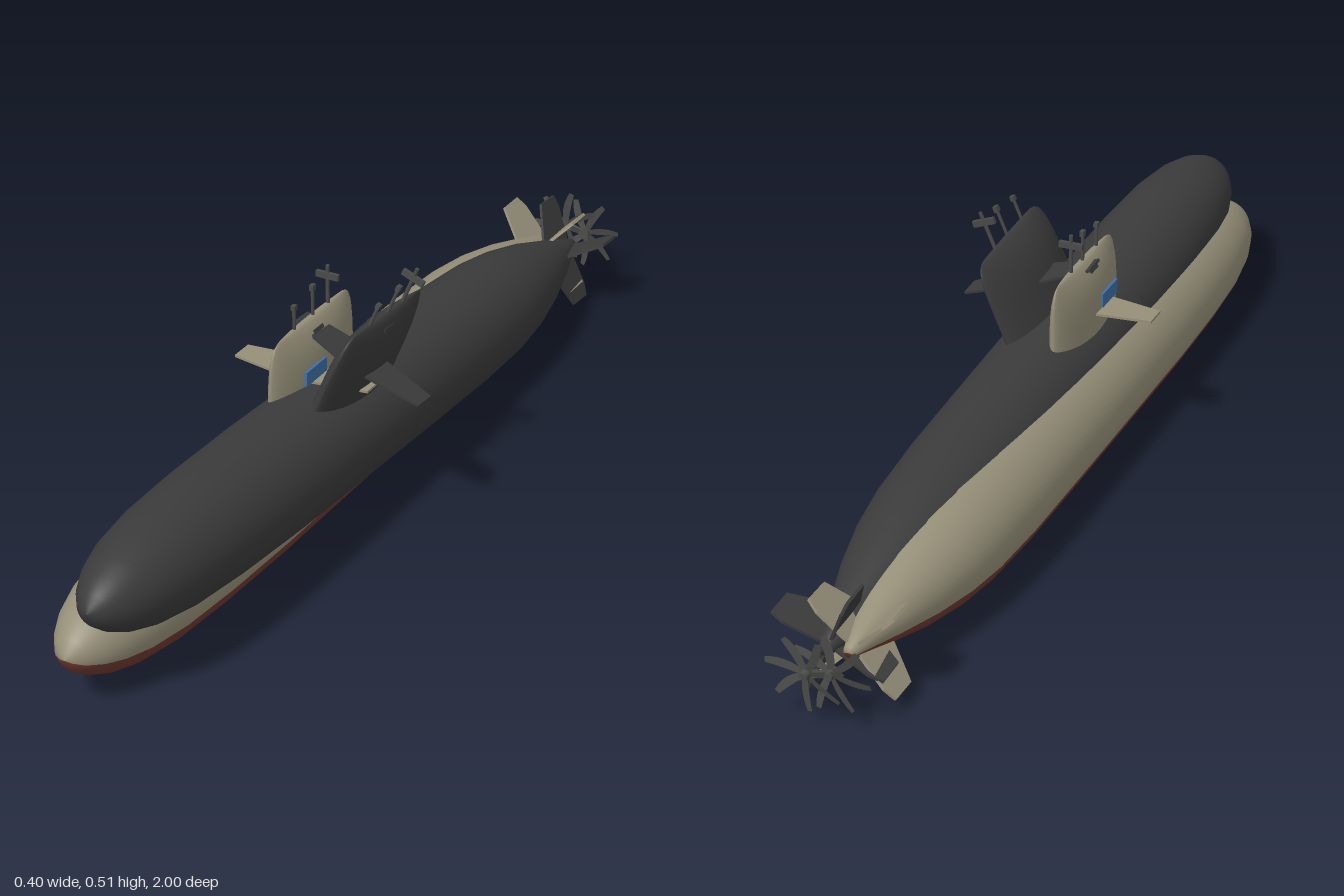
import * as THREE from 'three';

const mat = (name, color, side = THREE.FrontSide) => {
  const m = new THREE.MeshStandardMaterial({ color, side });
  m.name = name;
  return m;
};

// Half outline of the hull: [z, radius], stern to bow
const HULL = [
  [-0.917, 0], [-0.915, 0.012], [-0.87, 0.026], [-0.8, 0.049], [-0.7, 0.078], [-0.6, 0.099],
  [-0.5, 0.111], [-0.35, 0.117], [-0.1, 0.118], [0.4, 0.118], [0.6, 0.114], [0.75, 0.106],
  [0.85, 0.092], [0.91, 0.075], [0.95, 0.056], [0.98, 0.034], [0.994, 0.015], [1, 0],
];

// Sail sections: [height, half width, aft z, front z]
const SAIL = [
  [0.08, 0.038, -0.02, 0.292], [0.18, 0.037, -0.02, 0.292], [0.215, 0.0345, -0.02, 0.29],
  [0.24, 0.03, -0.019, 0.287], [0.26, 0.023, -0.016, 0.282], [0.275, 0.0155, -0.01, 0.274],
  [0.284, 0.009, 0.0, 0.26], [0.288, 0.004, 0.012, 0.245], [0.288, 0, 0.1, 0.16],
];

export function createModel() {
  const olive = mat('olive paint', 0x969079);
  const red = mat('red bottom paint', 0x70392f);
  const dark = mat('dark hull paint', 0x3b3b3b);
  const metal = mat('dark metal', 0x4a4a48, THREE.DoubleSide);
  const blue = mat('blue panel', 0x3f6fa6);

  const add = (parent, name, geo, material) => {
    const m = new THREE.Mesh(geo, material);
    m.name = name;
    parent.add(m);
    return m;
  };
  const box = (w, h, d, x, y, z) => new THREE.BoxGeometry(w, h, d).translate(x, y, z);

  // Sector of the round hull, measured from the keel
  function hullGeo(start, length, segments) {
    const pts = HULL.map(([z, r]) => new THREE.Vector2(r, z));
    return new THREE.LatheGeometry(pts, segments, start, length).rotateX(Math.PI / 2);
  }

  // Sail lofted through lens-shaped sections
  function sailGeo() {
    const n = 32, pos = [], idx = [];
    SAIL.forEach(([y, w, z0, z1], r) => {
      for (let i = 0; i < n; i++) {
        const t = (i / n) * Math.PI * 2, s = Math.sin(t);
        pos.push(w * s * Math.pow(Math.abs(s), 0.25), y, (z0 + z1) / 2 + ((z1 - z0) / 2) * Math.cos(t));
        if (r === SAIL.length - 1) continue;
        const a = r * n + i, b = r * n + (i + 1) % n;
        idx.push(a, b, a + n, b, b + n, a + n);
      }
    });
    const g = new THREE.BufferGeometry();
    g.setAttribute('position', new THREE.Float32BufferAttribute(pos, 3));
    g.setIndex(idx);
    g.computeVertexNormals();
    return g;
  }

  // Thin tapered plate reaching out along +x; corners are [x, z]
  function finGeo(corners, thick) {
    const shape = new THREE.Shape(corners.map(([x, z]) => new THREE.Vector2(x, z)));
    return new THREE.ExtrudeGeometry(shape, { depth: thick, bevelEnabled: false })
      .translate(0, 0, -thick / 2).rotateX(Math.PI / 2);
  }

  function propeller() {
    const prop = new THREE.Group();
    prop.name = 'propeller';
    add(prop, 'hub', new THREE.CylinderGeometry(0.012, 0.008, 0.022, 16).rotateX(Math.PI / 2), metal);
    const blade = new THREE.Shape();
    blade.moveTo(-0.005, 0.005);
    blade.quadraticCurveTo(-0.014, 0.045, 0.006, 0.08);
    blade.lineTo(0.016, 0.076);
    blade.quadraticCurveTo(0.008, 0.04, 0.005, 0.005);
    const geo = new THREE.ShapeGeometry(blade, 6).rotateY(0.25);
    for (let i = 0; i < 7; i++) {
      add(prop, 'blade', geo, metal).rotation.z = (i / 7) * Math.PI * 2;
    }
    prop.position.z = -0.988;
    return prop;
  }

  function submarine(name, upper, lower, panel) {
    const sub = new THREE.Group();
    sub.name = name;

    // Hull, split at the bottom paint line
    const half = THREE.MathUtils.degToRad(70.7);
    add(sub, 'lowerHull', hullGeo(-half, half * 2, 28), lower);
    add(sub, 'upperHull', hullGeo(half, Math.PI * 2 - half * 2, 40), upper);
    add(sub, 'sail', sailGeo(), upper);

    // Sail planes, side panels and slots
    for (const s of [1, -1]) {
      const plane = add(sub, 'sailPlane',
        finGeo([[0.02, 0.112], [0.148, 0.127], [0.148, 0.176], [0.02, 0.198]], 0.005), upper);
      plane.position.y = 0.18;
      plane.rotation.z = s > 0 ? 0 : Math.PI;
      if (panel) add(sub, 'sidePanel', box(0.006, 0.03, 0.075, s * 0.036, 0.197, 0.18), panel);
      const slot = add(sub, 'sailSlot', box(0.003, 0.008, 0.035, 0, 0, 0), dark);
      slot.position.set(s * 0.0195, 0.267, 0.14);
      slot.rotation.z = s * 0.46;
    }

    // Masts
    for (const [z, top, r] of [[0.07, 0.368, 0.004], [0.128, 0.35, 0.0035], [0.198, 0.338, 0.0035]]) {
      const h = top - 0.25;
      add(sub, 'mast', new THREE.CylinderGeometry(r, r, h, 10).translate(0, 0.25 + h / 2, z), metal);
    }
    add(sub, 'mastCrossbar', box(0.049, 0.013, 0.008, 0, 0.346, 0.07), metal);
    add(sub, 'periscopeHead', box(0.009, 0.012, 0.012, 0, 0.346, 0.128), metal);
    add(sub, 'sensorHead', box(0.009, 0.01, 0.011, 0, 0.334, 0.198), metal);

    // Four stern fins set in an X
    const fin = finGeo([[0.005, -0.9], [0.09, -0.912], [0.118, -0.905], [0.118, -0.845], [0.03, -0.8], [0.005, -0.8]], 0.006);
    for (let i = 0; i < 4; i++) {
      add(sub, 'sternFin', fin, upper).rotation.z = Math.PI / 4 + i * Math.PI / 2;
    }
    sub.add(propeller());
    return sub;
  }

  const model = new THREE.Group();
  model.name = 'submarines';

  const first = submarine('oliveSubmarine', olive, red, blue);
  first.position.set(-0.052, 0.122, 0);
  model.add(first);

  // Second boat overlaps the first, pitched up and rolled
  const second = submarine('darkSubmarine', dark, dark, null);
  second.position.set(-0.005, 0.17, -0.006);
  second.rotation.set(-0.058, 0, -0.377);
  model.add(second);

  return model;
}
